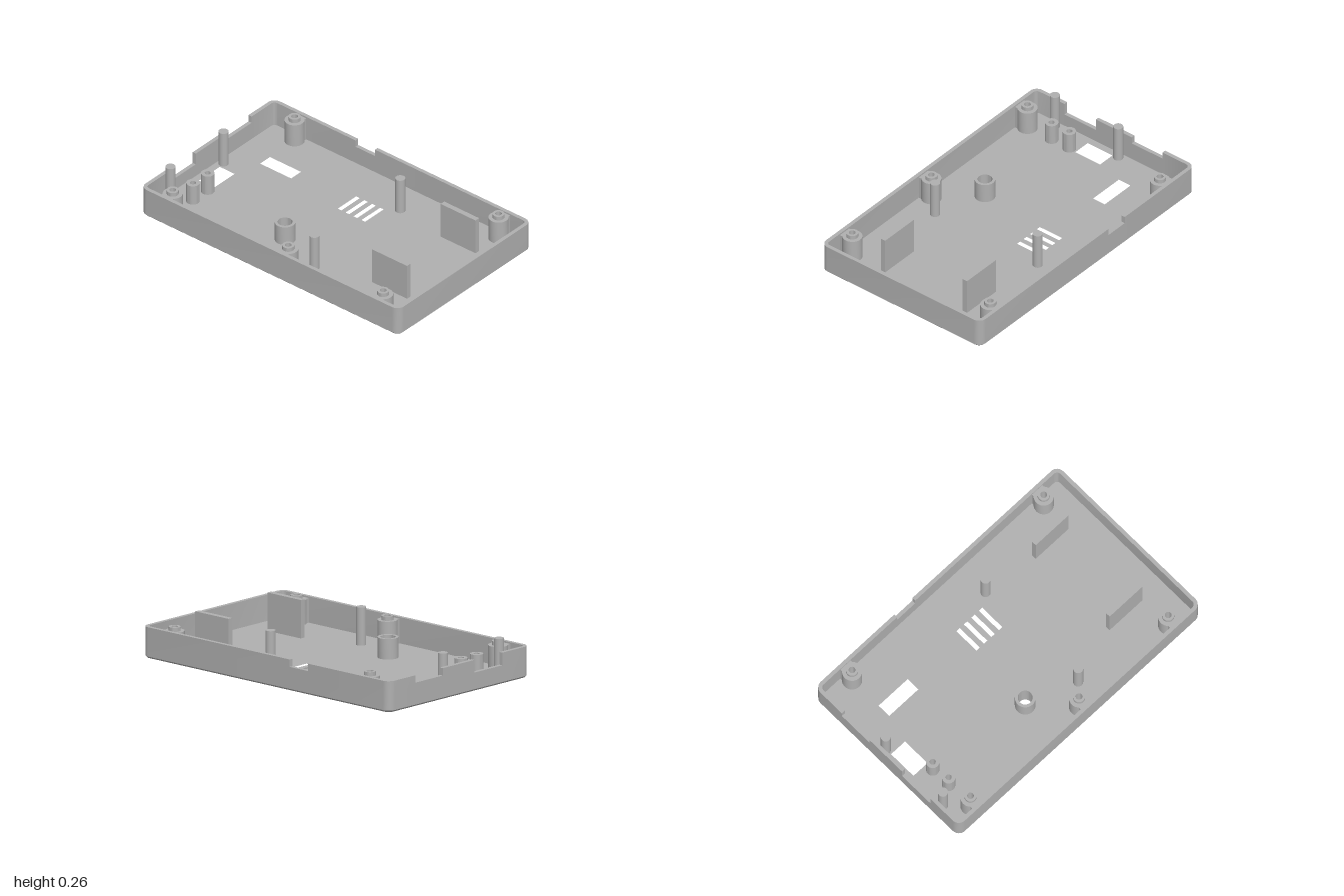
import * as THREE from 'three';
import { toCreasedNormals } from 'three/addons/utils/BufferGeometryUtils.js';

const W = 1, D = 0.61, R = 0.05;            // half width, half depth, corner radius
const WALL = 0.024, RIM = 0.19, FLOOR = 0.03, CHAMFER = 0.011;
const BACK_NOTCH = { from: -0.345, to: -0.195, top: 0.145 };
const SIDE_NOTCHES = [
  { from: -0.38, to: -0.145, top: 0.145 },
  { from: 0.13, to: 0.37, top: 0.113 },
];

// Rounded outline, counterclockwise from above, with extra points at the notches
function outline(inset) {
  const pts = [];
  const corner = (sx, sz, start) => {
    for (let i = 0; i <= 8; i++) {
      const a = start + (i / 8) * Math.PI / 2;
      pts.push([sx * (W - R) + (R - inset) * Math.cos(a), sz * (D - R) - (R - inset) * Math.sin(a)]);
    }
  };
  corner(1, -1, 0);
  pts.push([BACK_NOTCH.to, inset - D], [BACK_NOTCH.from, inset - D]);
  corner(-1, -1, Math.PI / 2);
  for (const n of SIDE_NOTCHES) pts.push([inset - W, n.from], [inset - W, n.to]);
  corner(-1, 1, Math.PI);
  corner(1, 1, Math.PI * 1.5);
  return pts;
}

function wallTop([ax, az], [bx, bz]) {
  const x = (ax + bx) / 2, z = (az + bz) / 2;
  if (z < -D + 0.001 && x > BACK_NOTCH.from && x < BACK_NOTCH.to) return BACK_NOTCH.top;
  if (x < -W + 0.001) {
    for (const n of SIDE_NOTCHES) if (z > n.from && z < n.to) return n.top;
  }
  return RIM;
}

// Chamfered wall with stepped notches, swept along the outline
function wallGeometry() {
  const out = outline(0), inn = outline(WALL), base = outline(CHAMFER);
  const n = out.length, pos = [];
  const v = (p, y) => [p[0], y, p[1]];
  const quad = (a, b, c, d) => pos.push(...a, ...b, ...c, ...a, ...c, ...d);
  const tops = out.map((p, i) => wallTop(p, out[(i + 1) % n]));
  for (let i = 0; i < n; i++) {
    const j = (i + 1) % n, h = tops[i], next = tops[j];
    quad(v(base[i], 0), v(base[j], 0), v(out[j], CHAMFER), v(out[i], CHAMFER));
    quad(v(out[i], CHAMFER), v(out[j], CHAMFER), v(out[j], h), v(out[i], h));
    quad(v(inn[j], 0.01), v(inn[i], 0.01), v(inn[i], h), v(inn[j], h));
    quad(v(out[i], h), v(out[j], h), v(inn[j], h), v(inn[i], h));
    if (h > next) quad(v(out[j], next), v(inn[j], next), v(inn[j], h), v(out[j], h));
    if (h < next) quad(v(inn[j], h), v(out[j], h), v(out[j], next), v(inn[j], next));
  }
  const g = new THREE.BufferGeometry();
  g.setAttribute('position', new THREE.Float32BufferAttribute(pos, 3));
  return toCreasedNormals(g, 0.5);
}

const rectHole = (x0, x1, z0, z1) => new THREE.Path([
  new THREE.Vector2(x0, z0), new THREE.Vector2(x0, z1),
  new THREE.Vector2(x1, z1), new THREE.Vector2(x1, z0),
]);
const roundHole = (x, z, r) => new THREE.Path().absarc(x, z, r, 0, Math.PI * 2, true);

// Turned part from an outer-bottom to inner-bottom profile
const turned = (profile) => toCreasedNormals(
  new THREE.LatheGeometry(profile.map(([r, y]) => new THREE.Vector2(r, y)), 32), 0.5);

export function createModel() {
  const group = new THREE.Group();
  const plastic = new THREE.MeshStandardMaterial({ color: 0xb0b0b0 });
  plastic.name = 'grey plastic';
  const add = (name, geometry, x = 0, y = 0, z = 0) => {
    const mesh = new THREE.Mesh(geometry, plastic);
    mesh.name = name;
    mesh.position.set(x, y, z);
    group.add(mesh);
    return mesh;
  };

  const screwBosses = [[-0.77, -0.53], [0.81, -0.53], [-0.82, 0.525], [0.075, 0.525], [0.81, 0.525]];
  const smallPosts = [[-0.82, 0.205], [-0.82, 0.34]];
  const pins = [[-0.935, -0.075], [0.18, -0.375], [-0.935, 0.41], [0.18, 0.41]];
  const collar = [-0.145, 0.295];

  add('wall', wallGeometry());

  // Floor with windows, vents and screw holes
  const floor = new THREE.Shape(outline(CHAMFER).map(([x, z]) => new THREE.Vector2(x, z)));
  floor.holes.push(rectHole(-0.77, -0.53, -0.305, -0.215), rectHole(-0.93, -0.815, -0.035, 0.155));
  for (let i = 0; i < 4; i++) {
    const x = -0.114 + i * 0.0615;
    floor.holes.push(rectHole(x, x + 0.028, -0.32, -0.15));
  }
  for (const [x, z] of screwBosses) floor.holes.push(roundHole(x, z, 0.036));
  for (const [x, z] of smallPosts) floor.holes.push(roundHole(x, z, 0.018));
  floor.holes.push(roundHole(...collar, 0.044));
  const floorGeometry = new THREE.ExtrudeGeometry(floor, { depth: FLOOR, bevelEnabled: false, curveSegments: 32 });
  floorGeometry.rotateX(Math.PI / 2);
  add('floor', floorGeometry, 0, FLOOR, 0);

  // Counterbored screw bosses with a locating ring, joined to the wall
  const bossGeometry = turned([[0.06, 0.02], [0.06, 0.18], [0.036, 0.18], [0.036, 0.205],
    [0.02, 0.205], [0.02, 0.1], [0.036, 0.1], [0.036, 0]]);
  for (const [x, z] of screwBosses) {
    add('screwBoss', bossGeometry, x, 0, z);
    const side = Math.sign(z), inner = Math.abs(z) + 0.042, outer = D - 0.015;
    add('bossWeb', new THREE.BoxGeometry(0.085, 0.16, outer - inner), x, 0.1, side * (inner + outer) / 2);
  }

  // Hollow posts and collar
  const tube = (r, hole, top) => turned([[r, 0.02], [r, top], [hole, top], [hole, 0]]);
  const postGeometry = tube(0.04, 0.018, 0.16);
  for (const [x, z] of smallPosts) add('smallPost', postGeometry, x, 0, z);
  add('collar', tube(0.062, 0.044, 0.155), collar[0], 0, collar[1]);

  // Solid locating pins
  const pinGeometry = new THREE.CylinderGeometry(0.03, 0.03, 0.242, 32);
  for (const [x, z] of pins) add('locatingPin', pinGeometry, x, 0.141, z);

  // Upright retaining plates
  const plateGeometry = new THREE.BoxGeometry(0.27, 0.244, 0.033);
  for (const z of [-0.336, 0.29]) add('retainingPlate', plateGeometry, 0.675, 0.142, z);

  return group;
}
